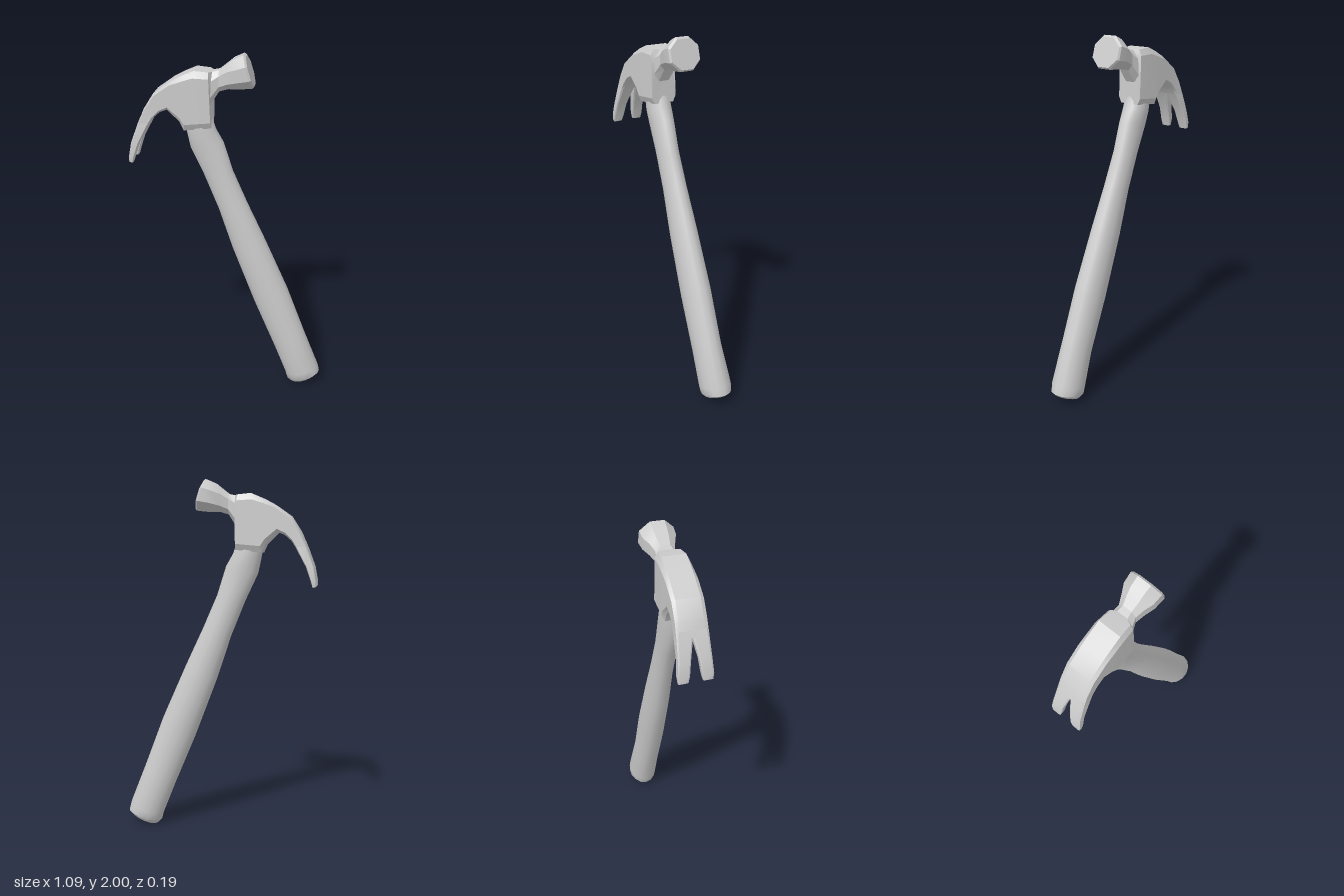
import * as THREE from 'three';
import { toCreasedNormals } from 'three/addons/utils/BufferGeometryUtils.js';

const material = new THREE.MeshStandardMaterial({ color: 0xcccccc });

// Unit cross-sections: a chamfered square (k = 1 - chamfer) and a round polygon
const chamfered = (k) => [[1, -k], [1, k], [k, 1], [-k, 1], [-1, k], [-1, -k], [-k, -1], [k, -1]];
const round = (n) => Array.from({ length: n }, (_, i) => {
  const a = (i / n) * Math.PI * 2;
  return [Math.cos(a), Math.sin(a)];
});

// Loft through sections [outerX, outerY, innerX, innerY, halfDepth, centreZ, ring]
function loft(name, sections, crease) {
  const rings = sections.map(([ox, oy, ix, iy, hz, cz, ring]) => ring.map(([u, v]) => [
    (ox + ix) / 2 + (u * (ox - ix)) / 2,
    (oy + iy) / 2 + (u * (oy - iy)) / 2,
    cz + v * hz,
  ]));
  const n = rings[0].length;
  const index = [];
  for (let i = 0; i < rings.length - 1; i++) {
    for (let j = 0; j < n; j++) {
      const a = i * n + j, b = i * n + ((j + 1) % n);
      index.push(a, b, b + n, a, b + n, a + n);
    }
  }
  // End caps
  const last = (rings.length - 1) * n;
  for (let j = 1; j < n - 1; j++) {
    index.push(0, j + 1, j, last, last + j, last + j + 1);
  }
  const geometry = new THREE.BufferGeometry();
  geometry.setAttribute('position', new THREE.Float32BufferAttribute(rings.flat(2), 3));
  geometry.setIndex(index);
  const mesh = new THREE.Mesh(toCreasedNormals(geometry, crease), material);
  mesh.name = name;
  return mesh;
}

export function createModel() {
  const group = new THREE.Group();
  group.name = 'clawHammer';

  // Handle: slim at the neck, swelling towards the grip, bevelled at the butt
  const oval = round(14);
  group.add(loft('handle', [
    [0.37, 0.005, 0.53, 0.07, 0.065, -0.007, oval],
    [0.345, 0.03, 0.543, 0.085, 0.083, -0.007, oval],
    [0.335, 0.07, 0.532, 0.13, 0.087, -0.006, oval],
    [0.265, 0.25, 0.44, 0.365, 0.077, 0, oval],
    [0.14, 0.55, 0.33, 0.655, 0.078, 0, oval],
    [0.01, 0.895, 0.195, 0.96, 0.07, 0, oval],
    [-0.07, 1.14, 0.09, 1.185, 0.06, 0, oval],
    [-0.15, 1.34, 0.01, 1.37, 0.057, 0, oval],
    [-0.22, 1.49, -0.04, 1.53, 0.06, 0, oval],
    [-0.235, 1.56, -0.08, 1.6, 0.066, 0, oval],
    [-0.25, 1.64, -0.1, 1.66, 0.064, 0, oval],
  ], 0.7));

  // Head: claw root, cheeks, neck and striking face in one sweep
  const square = chamfered(0.78), soft = chamfered(0.5), disc = chamfered(0.42);
  group.add(loft('head', [
    [-0.49, 1.635, -0.43, 1.635, 0.082, 0, square],
    [-0.455, 1.715, -0.405, 1.67, 0.08, 0, square],
    [-0.40, 1.80, -0.37, 1.70, 0.08, 0, square],
    [-0.31, 1.863, -0.33, 1.715, 0.08, 0, square],
    [-0.25, 1.895, -0.265, 1.65, 0.08, 0, square],
    [-0.185, 1.922, -0.245, 1.605, 0.08, 0, square],
    [-0.11, 1.915, -0.10, 1.62, 0.074, 0, square],
    [-0.095, 1.912, -0.105, 1.74, 0.06, -0.002, soft],
    [-0.06, 1.92, -0.06, 1.81, 0.05, -0.003, soft],
    [-0.02, 1.95, -0.01, 1.825, 0.066, -0.005, soft],
    [0.015, 1.978, 0.045, 1.825, 0.086, -0.007, disc],
    [0.065, 2, 0.115, 1.832, 0.091, -0.007, disc],
    [0.078, 1.99, 0.124, 1.842, 0.084, -0.007, disc],
  ], 0.4));

  // Two tapering prongs with a V-shaped slot between them
  for (const side of [-1, 1]) {
    group.add(loft(side > 0 ? 'frontProng' : 'backProng', [
      [-0.545, 1.425, -0.525, 1.42, 0.025, side * 0.063, square],
      [-0.543, 1.46, -0.515, 1.455, 0.031, side * 0.061, square],
      [-0.53, 1.53, -0.488, 1.53, 0.032, side * 0.054, square],
      [-0.49, 1.635, -0.43, 1.635, 0.041, side * 0.041, square],
      [-0.475, 1.67, -0.42, 1.65, 0.038, side * 0.04, square],
    ], 0.4));
  }

  return group;
}
